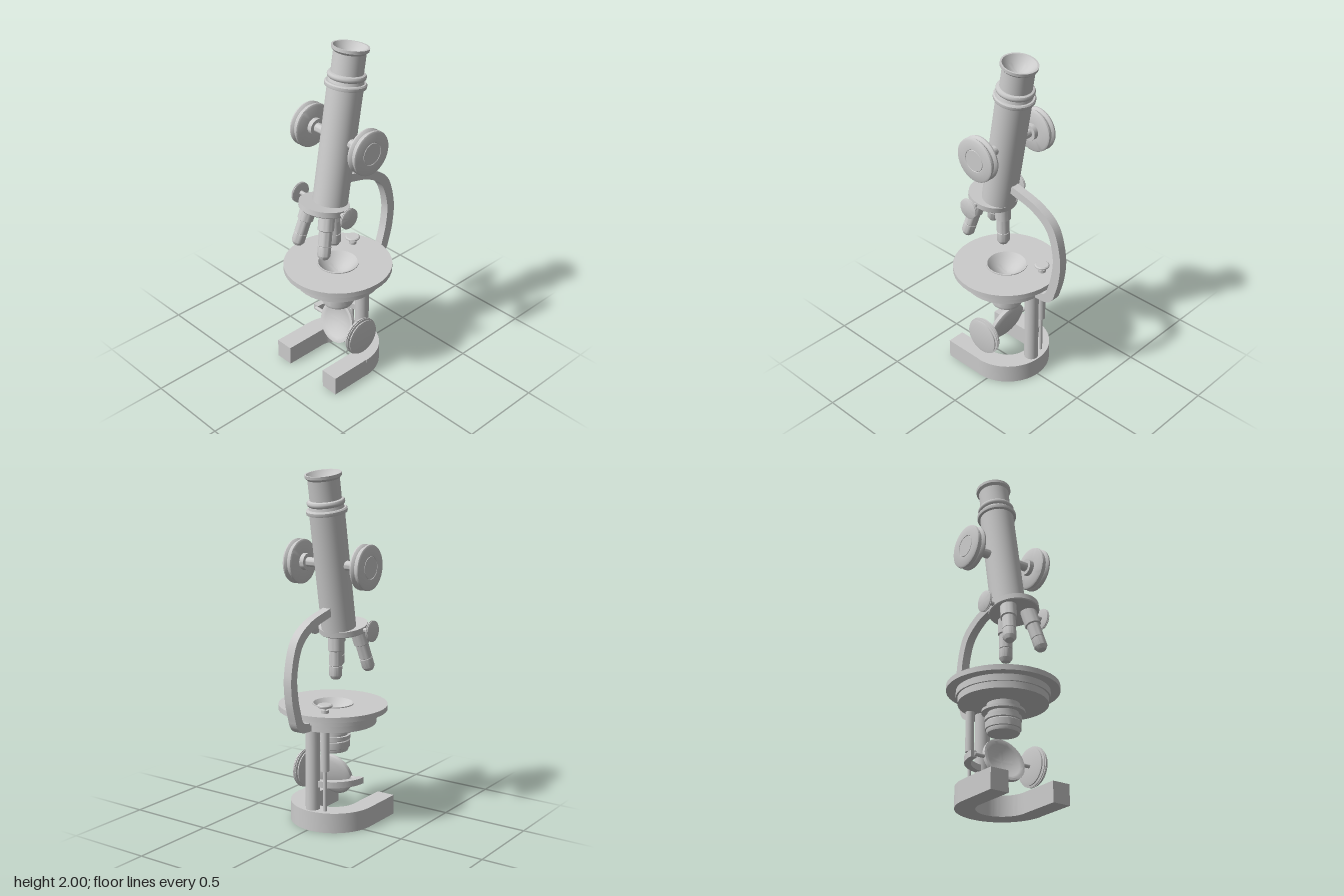
import * as THREE from 'three';
import { toCreasedNormals } from 'three/addons/utils/BufferGeometryUtils.js';

const material = new THREE.MeshStandardMaterial({ color: 0xcccccc, side: THREE.DoubleSide });

function add(parent, name, geometry, x = 0, y = 0, z = 0) {
  const mesh = new THREE.Mesh(geometry, material);
  mesh.name = name;
  mesh.position.set(x, y, z);
  parent.add(mesh);
  return mesh;
}

// Turned part: profile of [radius, height] pairs, bottom to top
function turned(profile, segments = 40) {
  const points = profile.map(([r, h]) => new THREE.Vector2(r, h));
  return toCreasedNormals(new THREE.LatheGeometry(points, segments), 0.6);
}

// Concave dish from a rim down to the axis
function dish(radius, height, depth, steps = 8) {
  return Array.from({ length: steps + 1 }, (_, i) => {
    const r = 1 - i / steps;
    return [radius * r, height - depth * (1 - r * r)];
  });
}

const rod = (r, length, segments = 24) => new THREE.CylinderGeometry(r, r, length, segments);

export function createModel() {
  const model = new THREE.Group();
  model.name = 'microscope';

  // Horseshoe base
  const foot = new THREE.Shape();
  foot.moveTo(0.247, -0.31);
  foot.lineTo(0.247, -0.06);
  foot.absarc(0, -0.06, 0.249, 0, Math.PI, false);
  foot.lineTo(-0.249, -0.31);
  foot.lineTo(-0.14, -0.31);
  foot.lineTo(-0.14, -0.06);
  foot.absarc(0, -0.06, 0.14, Math.PI, 0, true);
  foot.lineTo(0.14, -0.31);
  foot.closePath();
  const footGeometry = new THREE.ExtrudeGeometry(foot, { depth: 0.115, bevelEnabled: false, curveSegments: 28 });
  footGeometry.rotateX(-Math.PI / 2);
  add(model, 'base', toCreasedNormals(footGeometry, 0.6), -0.008, 0, 0);

  // Pillar and the thinner adjusting rod beside it
  add(model, 'pillar', rod(0.041, 0.48), 0, 0.35, -0.137);
  add(model, 'adjustingSleeve', rod(0.024, 0.24), -0.083, 0.47, -0.137);
  add(model, 'adjustingRod', rod(0.01, 0.26), -0.083, 0.235, -0.137);

  // Round stage with a dished opening
  add(model, 'stage', turned([
    [0, 0.58], [0.247, 0.58], [0.247, 0.618], [0.257, 0.618], [0.257, 0.655],
    [0.31, 0.655], [0.31, 0.685], [0.12, 0.685], [0.12, 0.69],
    ...dish(0.112, 0.69, 0.075),
  ]), 0, 0, 0.06);

  // Condenser under the stage
  add(model, 'condenser', turned([
    [0, 0.413], [0.086, 0.413], [0.092, 0.43], [0.092, 0.433], [0.098, 0.436], [0.098, 0.475],
    [0.093, 0.48], [0.1, 0.485], [0.1, 0.507], [0.085, 0.507], [0.085, 0.53],
    [0.118, 0.53], [0.118, 0.545], [0.09, 0.55], [0.09, 0.585],
  ]), 0, 0, 0.06);

  // Small screw standing on the stage
  add(model, 'stageScrew', turned([
    [0, 0.68], [0.022, 0.68], [0.022, 0.702], [0.01, 0.702], [0.01, 0.717],
    [0.036, 0.717], [0.042, 0.722], [0.042, 0.729], [0.036, 0.734], [0, 0.734],
  ], 28), -0.083, 0, -0.138);

  // Curved limb, drawn from the side and extruded across
  const v = (u, y) => new THREE.Vector2(u, y);
  const limb = new THREE.Shape();
  limb.moveTo(-0.04, 1.245);
  limb.splineThru([v(0.02, 1.237), v(0.19, 1.19), v(0.31, 1.1), v(0.363, 0.93), v(0.357, 0.78), v(0.323, 0.65)]);
  limb.quadraticCurveTo(0.305, 0.595, 0.25, 0.585);
  limb.lineTo(0.17, 0.58);
  limb.lineTo(0.17, 0.625);
  limb.lineTo(0.225, 0.632);
  limb.quadraticCurveTo(0.262, 0.637, 0.27, 0.67);
  limb.splineThru([v(0.302, 0.79), v(0.31, 0.925), v(0.262, 1.07), v(0.155, 1.15), v(0.02, 1.188), v(-0.04, 1.2)]);
  limb.closePath();
  const limbGeometry = new THREE.ExtrudeGeometry(limb, { depth: 0.05, bevelEnabled: false, curveSegments: 30 });
  limbGeometry.translate(0, 0, -0.025).rotateY(Math.PI / 2);
  add(model, 'limb', toCreasedNormals(limbGeometry, 0.6));

  // Tilting mirror with its axle, ridged knob and curved bracket
  const mirrorUnit = new THREE.Group();
  mirrorUnit.name = 'mirrorUnit';
  mirrorUnit.position.set(0, 0.265, 0.062);
  model.add(mirrorUnit);
  const mirror = add(mirrorUnit, 'mirror', turned([
    [0, -0.022], [0.1, -0.022], [0.122, -0.012], [0.127, -0.008], [0.127, 0.012], [0.116, 0.012],
    ...dish(0.114, 0.012, 0.028),
  ]));
  mirror.rotation.x = Math.PI / 2 - 0.3;
  for (const side of [-1, 1]) {
    const axle = add(mirrorUnit, 'mirrorAxle', rod(0.011, 0.07, 16), side * 0.152, 0, 0);
    axle.rotation.z = Math.PI / 2;
  }
  const mirrorKnob = add(mirrorUnit, 'mirrorKnob', turned([
    [0, 0.167], [0.085, 0.167], [0.105, 0.171], [0.105, 0.177], [0.09, 0.18], [0.113, 0.184],
    [0.113, 0.188], [0.092, 0.191], [0.113, 0.194], [0.113, 0.198], [0.09, 0.202],
    [0.105, 0.205], [0.105, 0.211], [0.085, 0.215], [0, 0.215],
  ]));
  mirrorKnob.rotation.z = -Math.PI / 2;
  const bracket = new THREE.Shape();
  bracket.absarc(0, 0, 0.208, Math.PI / 2, Math.PI, false);
  bracket.lineTo(-0.172, 0);
  bracket.absarc(0, 0, 0.172, Math.PI, Math.PI / 2, true);
  bracket.closePath();
  const bracketGeometry = new THREE.ExtrudeGeometry(bracket, { depth: 0.036, bevelEnabled: false, curveSegments: 20 });
  bracketGeometry.translate(0, 0, -0.018).rotateX(-Math.PI / 2);
  add(mirrorUnit, 'mirrorBracket', toCreasedNormals(bracketGeometry, 0.6));

  // Leaning upper body
  const body = new THREE.Group();
  body.name = 'body';
  body.position.set(0, 1.12, 0.115);
  body.rotation.x = -Math.PI / 18;
  model.add(body);

  // Main tube, collar, ring and hollow eyepiece
  add(body, 'tube', turned([
    [0, -0.01], [0.098, -0.01], [0.098, 0.655], [0.112, 0.658], [0.114, 0.664], [0.114, 0.677],
    [0.108, 0.684], [0.098, 0.684], [0.094, 0.7], [0.102, 0.706], [0.105, 0.714], [0.105, 0.722],
    [0.1, 0.73], [0.088, 0.734], [0, 0.734],
  ]));
  add(body, 'eyepiece', turned([
    [0.088, 0.73], [0.088, 0.845], [0.101, 0.858], [0.102, 0.875], [0.092, 0.875],
    ...dish(0.09, 0.872, 0.06),
  ]));

  // Revolving nosepiece with three splayed lenses
  const nose = new THREE.Group();
  nose.name = 'nosepiece';
  nose.position.set(0, -0.022, 0.044);
  body.add(nose);
  add(nose, 'noseDisc', turned([[0, -0.018], [0.135, -0.018], [0.14, -0.013], [0.14, 0.018], [0, 0.018]]));
  const lensGeometry = turned([
    [0, -0.27], [0.024, -0.27], [0.037, -0.25], [0.037, -0.197], [0.034, -0.195], [0.037, -0.192],
    [0.037, -0.11], [0.045, -0.105], [0.045, 0],
  ], 28);
  for (let i = 0; i < 3; i++) {
    const pivot = new THREE.Group();
    pivot.name = 'lensMount';
    pivot.rotation.y = Math.PI + i * Math.PI * 2 / 3;
    nose.add(pivot);
    add(pivot, 'objectiveLens', lensGeometry, 0, 0, 0.076).rotation.x = -0.18;
  }

  // Paired focusing knobs and nosepiece knobs
  const focusGeometry = turned([
    [0.027, 0.08], [0.027, 0.165], [0.048, 0.165], [0.048, 0.192], [0.115, 0.192], [0.125, 0.198],
    [0.127, 0.207], [0.121, 0.216], [0.115, 0.221], [0.115, 0.227], [0.121, 0.232], [0.127, 0.24],
    [0.125, 0.249], [0.116, 0.254], [0.064, 0.254], [0.062, 0.251], [0.06, 0.254], [0, 0.254],
  ]);
  const noseKnobGeometry = turned([
    [0.012, 0.1], [0.012, 0.185], [0.05, 0.185], [0.06, 0.188], [0.06, 0.192], [0.055, 0.194],
    [0.06, 0.196], [0.06, 0.2], [0.05, 0.204], [0, 0.204],
  ], 32);
  for (const side of [-1, 1]) {
    add(body, 'focusKnob', focusGeometry, 0, 0.365, 0).rotation.z = -side * Math.PI / 2;
    add(nose, 'noseKnob', noseKnobGeometry).rotation.z = -side * Math.PI / 2;
  }
  return model;
}
